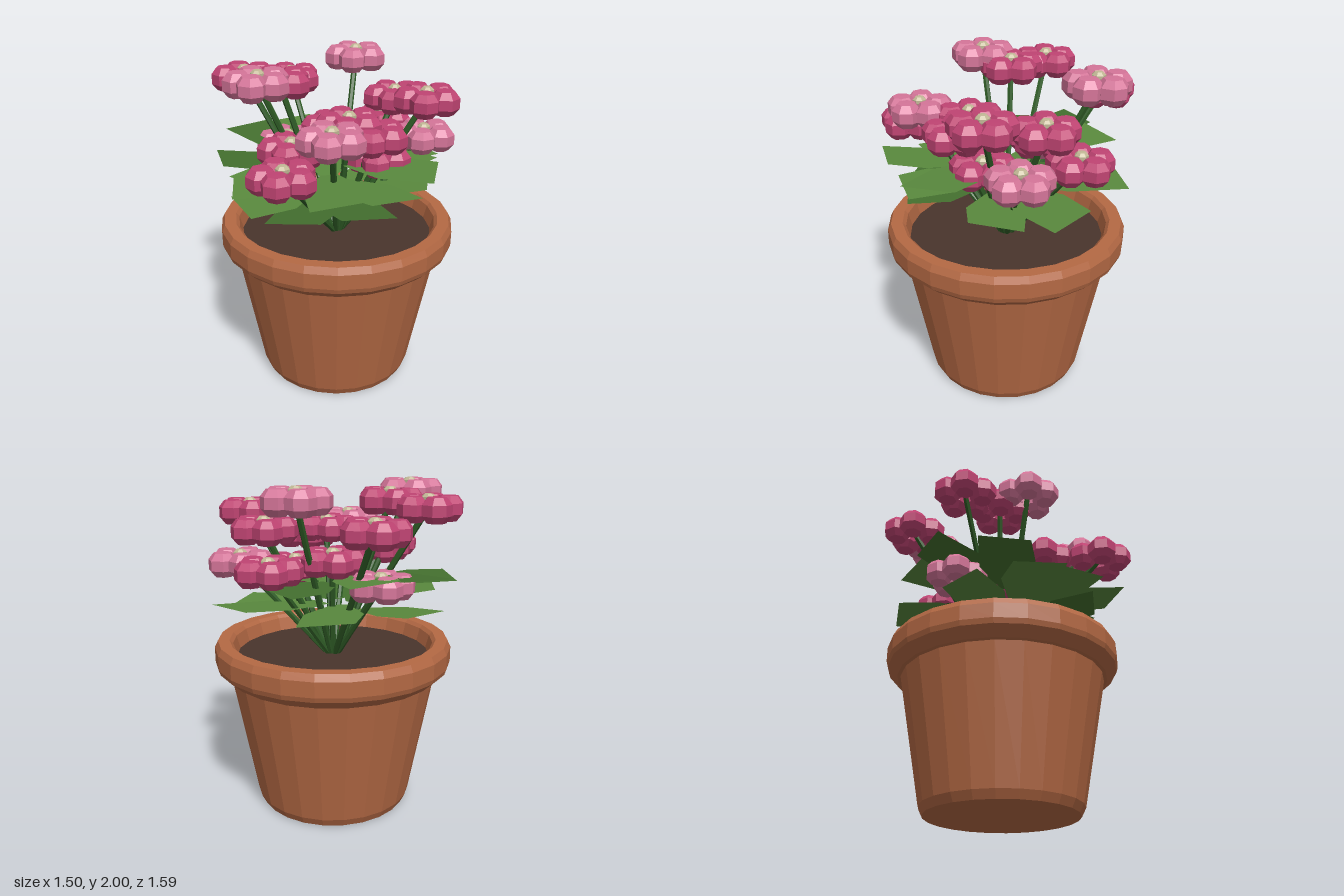
import * as THREE from 'three';

const flat = (name, color, side = THREE.FrontSide) => {
  const m = new THREE.MeshStandardMaterial({ color, side, flatShading: true });
  m.name = name;
  return m;
};

const mats = {
  terracotta: flat('terracotta', 0xb46944),
  soil: flat('soil', 0x49342c),
  stem: flat('stem green', 0x2f5c26),
  leaf: flat('leaf green', 0x5a8a3e, THREE.DoubleSide),
  darkLeaf: flat('dark leaf green', 0x44702f, THREE.DoubleSide),
  deepPink: flat('deep pink', 0xc04473),
  palePink: flat('pale pink', 0xd57599),
  pollen: flat('pollen', 0xc2b896),
};

const AXIS = new THREE.Vector3(0.02, 0, -0.08); // vertical axis of the pot

// x, y, z of each bloom, and 1 for the pale ones
const BLOOMS = [
  [-0.125, 1.92, -0.575, 1], [0.21, 1.73, -0.465, 0], [0.42, 1.52, -0.45, 1],
  [-0.51, 1.77, -0.41, 0], [0.50, 1.80, -0.27, 0], [-0.10, 1.55, -0.235, 0],
  [-0.38, 1.43, -0.155, 1], [-0.56, 1.86, 0.03, 0], [-0.27, 1.88, 0.09, 0],
  [0.18, 1.69, 0.065, 0], [-0.27, 1.92, 0.30, 1], [0.245, 1.70, 0.375, 1],
  [0.08, 1.53, 0.60, 0], [0.29, 1.46, -0.11, 0], [-0.07, 1.56, 0.28, 0],
  [0.33, 1.64, 0.045, 0], [0.06, 1.53, -0.60, 0],
];

// direction in degrees (0 = +x, 90 = +z), tip height, reach, and 1 for the dark ones
const LEAVES = [
  [-120, 1.31, 0.74, 0], [-168, 1.50, 0.70, 1], [150, 1.44, 0.64, 1], [108, 1.31, 0.64, 0],
  [55, 1.42, 0.67, 0], [22, 1.37, 0.62, 0], [-3, 1.47, 0.68, 0], [-35, 1.27, 0.62, 0],
  [-68, 1.31, 0.75, 0], [-92, 1.43, 0.64, 1], [-142, 1.50, 0.66, 0], [178, 1.26, 0.58, 0],
  [80, 1.25, 0.55, 1], [130, 1.33, 0.58, 0], [-50, 1.44, 0.62, 0], [35, 1.27, 0.55, 1],
];

function lathe(points, sides) {
  return new THREE.LatheGeometry(points.map(([r, y]) => new THREE.Vector2(r, y)), sides);
}

function addMesh(parent, name, geometry, material) {
  const m = new THREE.Mesh(geometry, material);
  m.name = name;
  parent.add(m);
  return m;
}

// Straight round rod between two points
function rod(a, b, radius) {
  const d = b.clone().sub(a);
  const g = new THREE.CylinderGeometry(radius, radius, d.length(), 6, 1);
  g.applyQuaternion(new THREE.Quaternion().setFromUnitVectors(
    new THREE.Vector3(0, 1, 0), d.normalize()));
  return g.translate((a.x + b.x) / 2, (a.y + b.y) / 2, (a.z + b.z) / 2);
}

// Broad, nearly level leaf with a square, slightly skewed end
function leafGeometry([deg, y, reach], i) {
  const skew = i % 2 ? 0.04 : -0.04;
  const start = 0.13;
  const mid = (start + reach) / 2;
  const outline = [
    [start, -0.05], [mid, -0.17], [reach + skew, -0.15],
    [reach - skew, 0.15], [mid, 0.17], [start, 0.05],
  ];
  const a = THREE.MathUtils.degToRad(deg);
  const pos = outline.flatMap(([u, v]) => [
    u * Math.cos(a) - v * Math.sin(a),
    y - 0.07 * (reach - u) + skew * 1.2 * v,
    u * Math.sin(a) + v * Math.cos(a)]);
  const g = new THREE.BufferGeometry();
  g.setAttribute('position', new THREE.Float32BufferAttribute(pos, 3));
  g.setIndex([0, 5, 1, 1, 5, 4, 1, 4, 2, 2, 4, 3]);
  g.computeVertexNormals();
  return g;
}

export function createModel() {
  const model = new THREE.Group();
  model.name = 'pottedFlowers';

  // Pot with a rolled rim, open at the top
  const pot = new THREE.Group();
  pot.name = 'pot';
  pot.position.copy(AXIS);
  model.add(pot);
  addMesh(pot, 'potBody', lathe([
    [0, 0], [0.46, 0], [0.485, 0.05], [0.63, 0.83], [0.65, 0.835], [0.71, 0.89],
    [0.72, 0.92], [0.72, 1.01], [0.70, 1.05], [0.63, 1.05], [0.61, 1.03], [0.58, 0.92],
  ], 24), mats.terracotta);
  addMesh(pot, 'soil', new THREE.CylinderGeometry(0.59, 0.59, 0.03, 24), mats.soil)
    .position.y = 0.935;

  // Flowers: a stem, five faceted petals in a ring and a small heart
  const petal = lathe([
    [0, -0.07], [0.054, -0.069], [0.086, -0.03], [0.086, 0.03], [0.054, 0.069], [0, 0.07],
  ], 7);
  const heart = lathe([[0.02, 0], [0.04, 0.045], [0.04, 0.062], [0.024, 0.078], [0, 0.08]], 7);
  BLOOMS.forEach(([x, y, z, pale]) => {
    const flower = new THREE.Group();
    flower.name = 'flower';
    model.add(flower);
    const top = new THREE.Vector3(x, y, z);
    const out = new THREE.Vector3(x - AXIS.x, 0, z - AXIS.z).normalize();
    const base = AXIS.clone().addScaledVector(out, 0.03).setY(0.94);
    addMesh(flower, 'stem', rod(base, top, 0.018), mats.stem);
    for (let k = 0; k < 5; k++) {
      const a = (k / 5) * Math.PI * 2;
      const p = addMesh(flower, 'petal', petal, pale ? mats.palePink : mats.deepPink);
      p.position.set(x + 0.111 * Math.cos(a), y, z + 0.111 * Math.sin(a));
      p.rotation.y = -a;
    }
    addMesh(flower, 'flowerHeart', heart, mats.pollen).position.copy(top);
  });

  // Foliage spreading in tiers below the blooms
  const foliage = new THREE.Group();
  foliage.name = 'foliage';
  model.add(foliage);
  LEAVES.forEach((leaf, i) => addMesh(
    foliage, 'leaf', leafGeometry(leaf, i), leaf[3] ? mats.darkLeaf : mats.leaf));

  return model;
}
